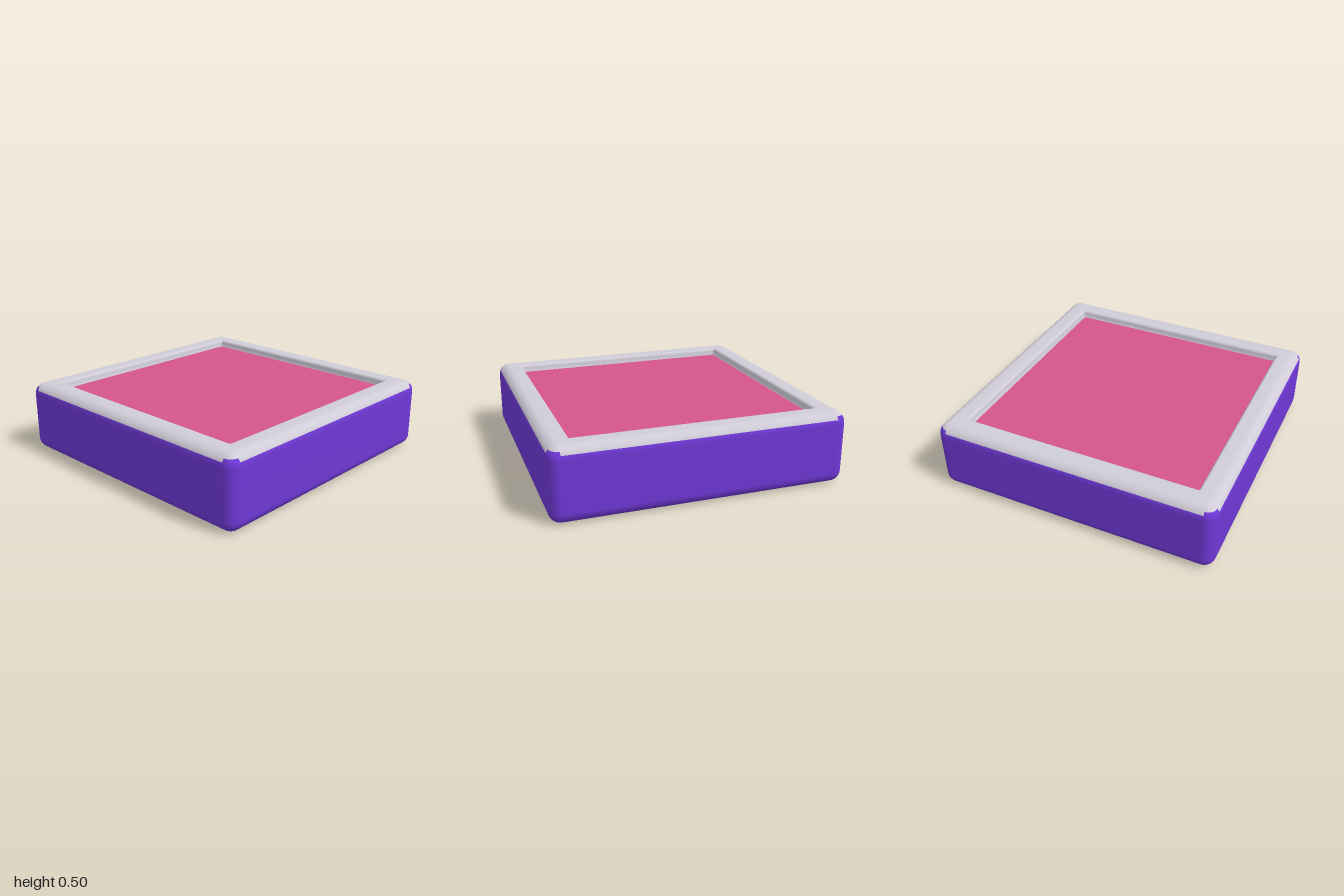
import * as THREE from 'three';

const R = 0.08;          // outer edge radius
const H = 0.5;           // total height
const FLOOR = 0.445;     // recess floor height
const N = 8;             // segments per corner
const PER = 4 * (N + 1); // points per ring

// Rounded-square ring: half size, corner radius, height
function ringPoints(half, r, y) {
  const pts = [];
  for (let c = 0; c < 4; c++) {
    const mid = (c + 0.5) * Math.PI / 2;
    const cx = Math.sign(Math.cos(mid)) * (half - r);
    const cz = Math.sign(Math.sin(mid)) * (half - r);
    for (let i = 0; i <= N; i++) {
      const a = (c + i / N) * Math.PI / 2;
      pts.push(cx + r * Math.cos(a), y, cz + r * Math.sin(a));
    }
  }
  return pts;
}

export function createModel() {
  const purple = new THREE.MeshStandardMaterial({ name: 'purple', color: 0x6f38d6 });
  const grey = new THREE.MeshStandardMaterial({ name: 'paleGrey', color: 0xcfccd7 });
  const pink = new THREE.MeshStandardMaterial({ name: 'pink', color: 0xd4558a });

  // Cross-section from the underside, up the wall, over the rim, into the recess
  const rings = [];
  const outer = (angle, baseY) => {
    const inset = R * (1 - Math.cos(angle));
    rings.push([1 - inset, Math.max(R - inset, 0.001), baseY + R * Math.sin(angle)]);
  };
  for (let i = 0; i <= 8; i++) outer((i / 8 - 1) * Math.PI / 2, R);
  const topAngles = [0, 0.22, 0.43, 0.6, 0.76, 0.96, 1.16, 1.36, Math.PI / 2];
  const sideSplit = rings.length + 2;   // colour change along the sides
  const cornerSplit = rings.length + 4; // colour change at the corners
  for (const a of topAngles) outer(a, H - R);
  for (let i = 0; i <= 5; i++) {        // rounded inner lip
    const a = (i / 5) * Math.PI / 2;
    rings.push([0.85 - 0.02 * Math.sin(a), 0.012, H - 0.02 * (1 - Math.cos(a))]);
  }
  rings.push([0.827, 0.012, FLOOR + 0.008], [0.819, 0.01, FLOOR]);

  const positions = rings.flatMap(([h, r, y]) => ringPoints(h, r, y));
  const bottomCentre = positions.length / 3;
  positions.push(0, 0, 0, 0, FLOOR, 0);

  // Sort faces into body and rim
  const bodyIndex = [], rimIndex = [];
  for (let k = 0; k < rings.length - 1; k++) {
    for (let j = 0; j < PER; j++) {
      const next = (j + 1) % PER;
      const a = k * PER + j, b = k * PER + next;
      const d = a + PER, c = b + PER;
      const split = j % (N + 1) < N ? cornerSplit : sideSplit;
      (k < split ? bodyIndex : rimIndex).push(a, d, c, a, c, b);
    }
  }
  const last = (rings.length - 1) * PER;
  for (let j = 0; j < PER; j++) {
    const next = (j + 1) % PER;
    bodyIndex.push(bottomCentre, j, next);
    rimIndex.push(bottomCentre + 1, last + next, last + j);
  }

  // Shared normals keep the colour seam smooth
  const shell = new THREE.BufferGeometry();
  shell.setAttribute('position', new THREE.Float32BufferAttribute(positions, 3));
  shell.setIndex([...bodyIndex, ...rimIndex]);
  shell.computeVertexNormals();

  const model = new THREE.Group();
  model.name = 'framedTile';
  const add = (name, geometry, material) => {
    const mesh = new THREE.Mesh(geometry, material);
    mesh.name = name;
    model.add(mesh);
    return mesh;
  };
  add('body', shell.clone().setIndex(bodyIndex), purple);
  add('rim', shell.clone().setIndex(rimIndex), grey);

  // Inset panel
  add('panel', new THREE.BoxGeometry(1.635, 0.008, 1.635), pink).position.y = FLOOR + 0.003;
  return model;
}
